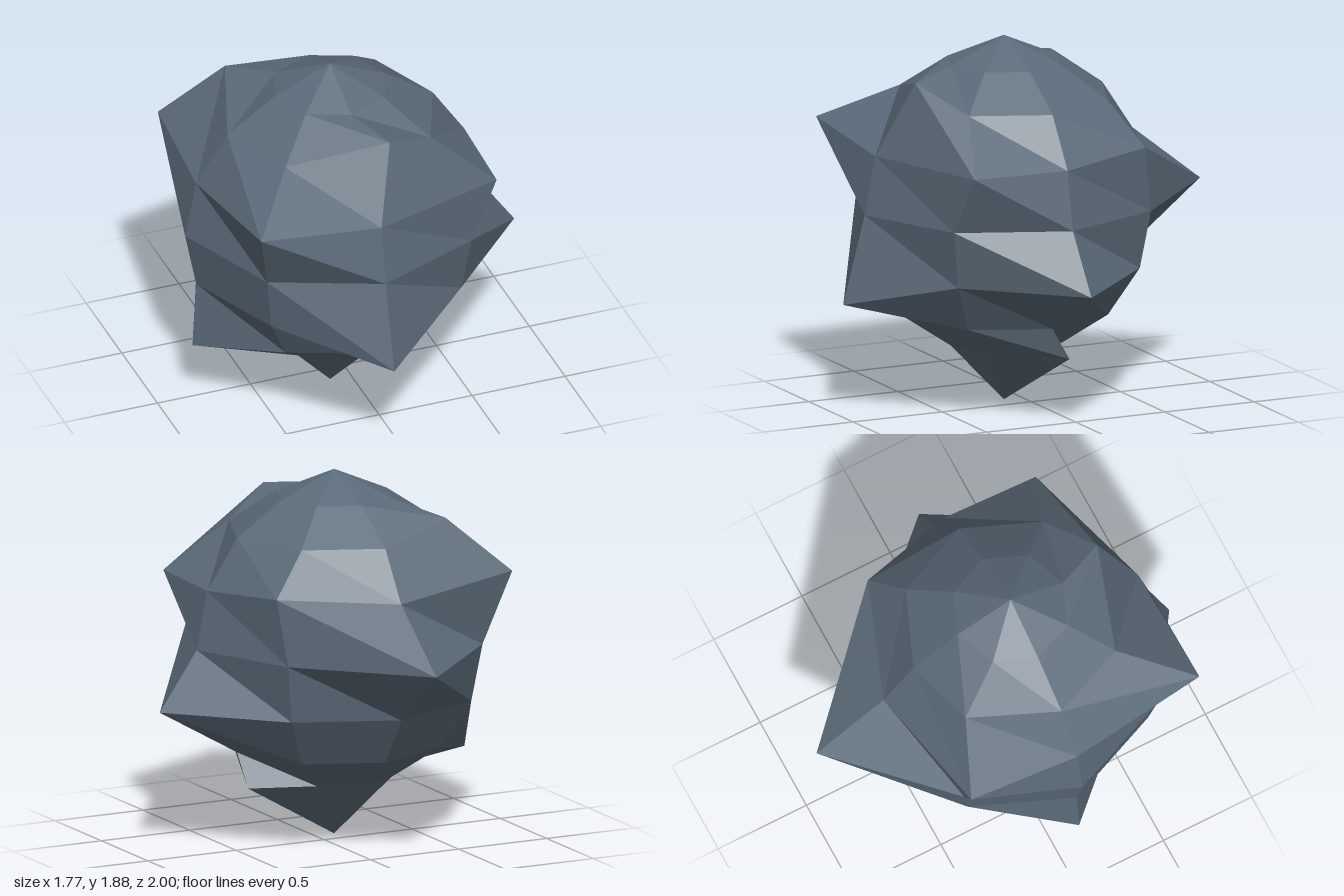
import * as THREE from 'three';

const SEGMENTS = 8; // columns and rows of the base sphere
const RADIUS = 0.78;
const CENTRE = [-0.11, 1.03, 0.1];

// Corners pulled away from the sphere: [row from top, column from -x through +z, final x, y, z]
const PULLED = [
  [2, 2, 0.0, 1.71, 0.65],
  [2, 7, -0.5, 1.68, -0.36],
  [3, 1, -0.76, 1.4, 0.83],
  [3, 3, 0.59, 1.33, 0.61],
  [3, 5, 0.48, 1.37, -0.4],
  [3, 7, -0.81, 1.4, -0.49],
  [4, 6, -0.11, 1.03, -1.0],
  [5, 2, -0.11, 0.58, 1.0],
  [5, 4, 0.88, 0.73, 0.1],
  [6, 0, -0.85, 0.37, 0.1],
  [7, 4, 0.43, 0.31, 0.0],
];

function createRockGeometry() {
  const sphere = new THREE.SphereGeometry(RADIUS, SEGMENTS, SEGMENTS);
  sphere.translate(...CENTRE);
  const pos = sphere.attributes.position;
  const stride = SEGMENTS + 1;

  // Pull single corners outward; column 0 is repeated at the seam
  for (const [row, col, x, y, z] of PULLED) {
    pos.setXYZ(row * stride + col, x, y, z);
    if (col === 0) pos.setXYZ(row * stride + SEGMENTS, x, y, z);
  }
  // Stretch both poles
  for (let col = 0; col < stride; col++) {
    pos.setXYZ(col, CENTRE[0], 1.88, CENTRE[2]);
    pos.setXYZ(SEGMENTS * stride + col, CENTRE[0], 0, CENTRE[2]);
  }

  // Separate faces give flat facets
  const faceted = sphere.toNonIndexed();
  faceted.computeVertexNormals();
  return faceted;
}

export function createModel() {
  const slate = new THREE.MeshStandardMaterial({ color: 0x5a6a78 });
  slate.name = 'slate';

  const rock = new THREE.Mesh(createRockGeometry(), slate);
  rock.name = 'rock';

  const model = new THREE.Group();
  model.name = 'jaggedRock';
  model.add(rock);
  return model;
}
